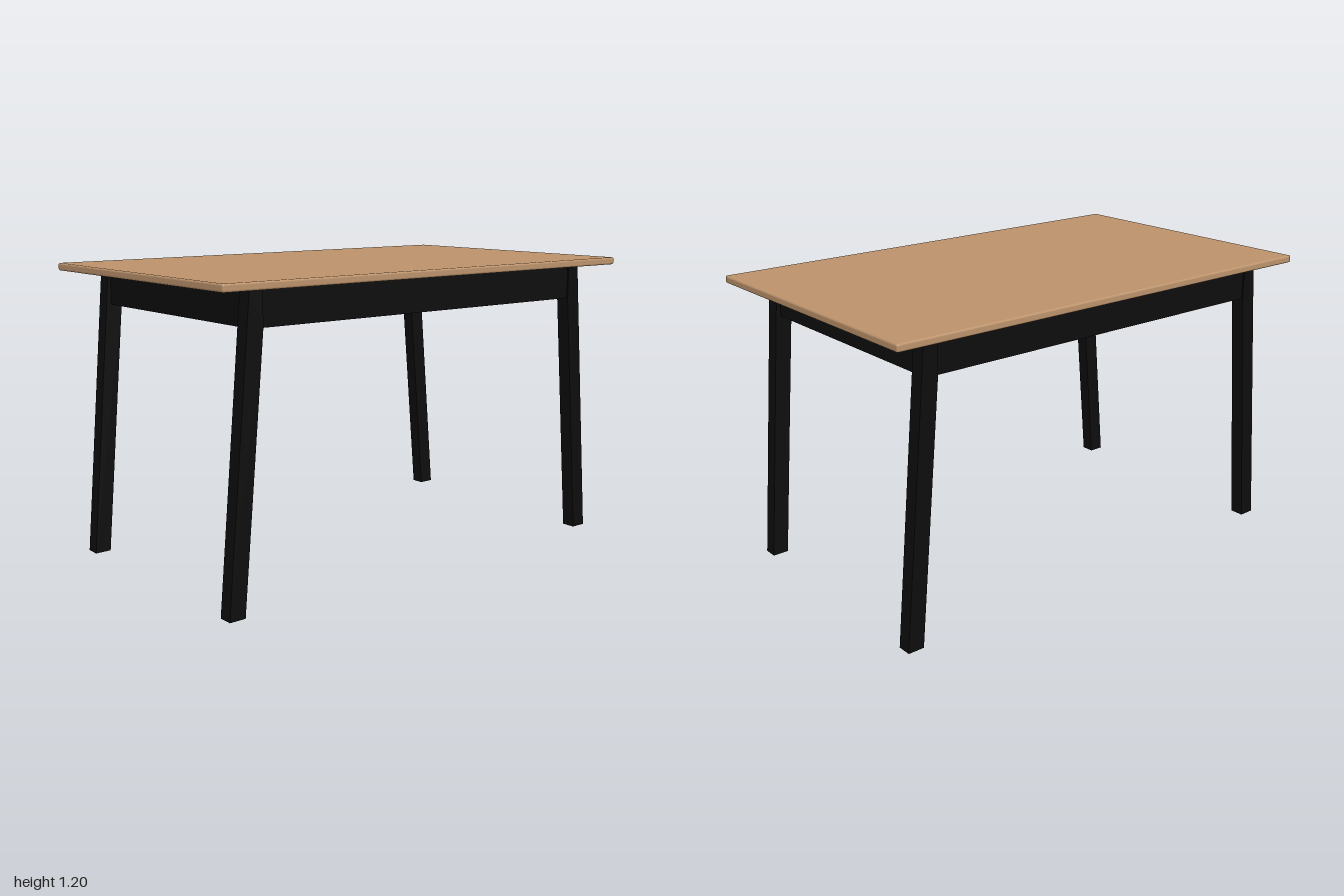
import * as THREE from 'three';
import { RoundedBoxGeometry } from 'three/addons/geometries/RoundedBoxGeometry.js';

export function createModel() {
  const wood = new THREE.MeshStandardMaterial({ color: 0xbb926b });
  wood.name = 'wood';
  const black = new THREE.MeshStandardMaterial({ color: 0x0d0d0d });
  black.name = 'blackPaint';
  const metal = new THREE.MeshStandardMaterial({ color: 0xacacac });
  metal.name = 'metal';

  const table = new THREE.Group();
  table.name = 'table';

  const add = (name, geometry, material, x = 0, y = 0, z = 0) => {
    const mesh = new THREE.Mesh(geometry, material);
    mesh.name = name;
    mesh.position.set(x, y, z);
    table.add(mesh);
    return mesh;
  };

  // Polygon extruded from points
  const prism = (points, depth) => new THREE.ExtrudeGeometry(
    new THREE.Shape(points.map(([x, y]) => new THREE.Vector2(x, y))),
    { depth, bevelEnabled: false });

  const topUnder = 1.166, apronLow = 1.028;
  const apronHeight = topUnder - apronLow, apronMid = (topUnder + apronLow) / 2;

  // Tabletop with softly rounded edges
  add('tabletop', new RoundedBoxGeometry(2, 0.03, 1.2, 3, 0.008), wood, 0, 1.181, 0);

  for (const s of [1, -1]) {
    const side = s > 0 ? 'left' : 'right';
    const end = s > 0 ? 'front' : 'back';

    // Long and short aprons
    add(end + 'Apron', new THREE.BoxGeometry(1.6, apronHeight, 0.03), black, 0, apronMid, s * 0.507);
    add(side + 'Apron', new THREE.BoxGeometry(0.03, apronHeight, 0.96), black, s * 0.822, apronMid, 0);

    for (const t of [1, -1]) {
      const corner = (t > 0 ? 'front' : 'back') + (s > 0 ? 'Left' : 'Right');

      // Splayed leg, straight inside where it meets the apron
      const leg = [[0.883, 0], [0.95, 0], [0.846, topUnder], [0.79, topUnder], [0.79, apronLow]];
      add(corner + 'Leg', prism(leg.map(([x, y]) => [s * x, y]), 0.058), black,
        0, 0, t * 0.499 - 0.029);

      // Bent metal corner bracket, flanged against both aprons
      const inner = [[0.62, 0.478], [0.67, 0.478], [0.74, 0.45], [0.777, 0.39], [0.793, 0.34]];
      const outer = [[0.807, 0.34], [0.789, 0.398], [0.748, 0.461], [0.672, 0.491], [0.62, 0.491]];
      const bracket = prism([...inner, ...outer].map(([x, z]) => [s * x, -t * z]), 0.1);
      bracket.rotateX(-Math.PI / 2);
      add(corner + 'Bracket', bracket, metal, 0, 1.055, 0);
    }
  }
  return table;
}
